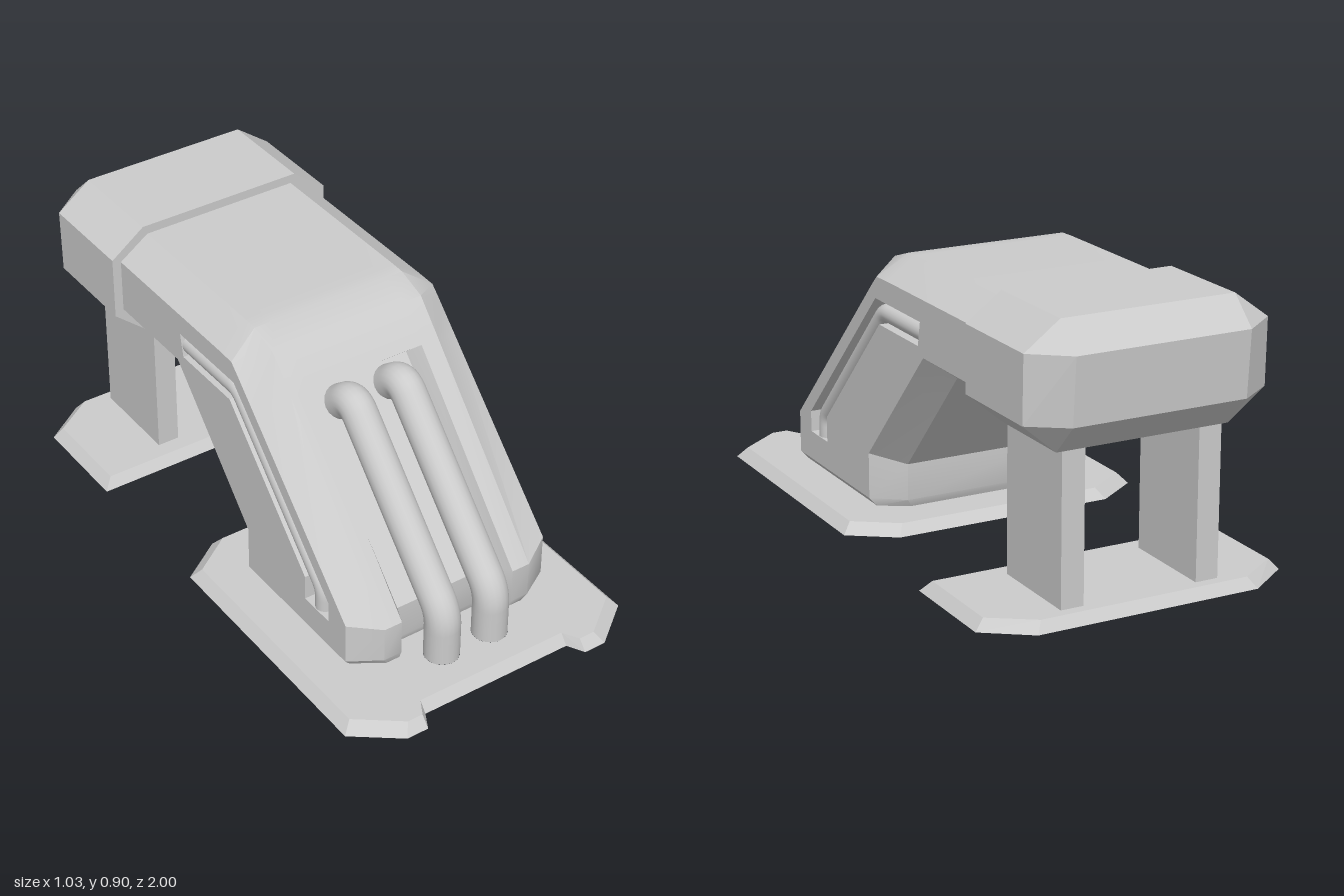
import * as THREE from 'three';
import { toCreasedNormals } from 'three/addons/utils/BufferGeometryUtils.js';
import { ConvexGeometry } from 'three/addons/geometries/ConvexGeometry.js';

const flat = new THREE.MeshStandardMaterial({ color: 0xcccccc, flatShading: true, side: THREE.DoubleSide });
const smooth = new THREE.MeshStandardMaterial({ color: 0xcccccc, side: THREE.DoubleSide });
const PLATE = 0.034;

function add(parent, name, geometry, material = flat) {
  const mesh = new THREE.Mesh(geometry, material);
  mesh.name = name;
  parent.add(mesh);
  return mesh;
}

const toV2 = (points) => points.map(([a, b]) => new THREE.Vector2(a, b));

// Body edges as [z, y] from the foot up and back to the rear
const frontEdge = [[0.73, PLATE], [0.74, 0.06], [0.74, 0.18], [0.245, 0.735], [0.245, 0.735], [0.15, 0.84], [0.05, 0.873], [0, 0.875], [-0.575, 0.875]];
const floorEdge = [[0.67, PLATE], [0.68, 0.06], [0.68, 0.18], [0.20, 0.695], ...frontEdge.slice(4)];
const sideFront = [[0.67, PLATE], [0.68, 0.06], [0.68, 0.20], [0.202, 0.678], [0.202, 0.678], [0.11, 0.77], [0.075, 0.803], [0, 0.805], [-0.575, 0.805]];
const sideBack = [[0.14, PLATE], [0.15, 0.06], [0.15, 0.21], [-0.128, 0.507], [-0.128, 0.507], [-0.22, 0.605], [-0.24, 0.626], [-0.30, 0.626], [-0.575, 0.626]];
const backEdge = [[0.085, PLATE], [0.075, 0.06], [0.075, 0.18], [-0.18, 0.461], [-0.18, 0.461], [-0.253, 0.541], [-0.268, 0.557], [-0.30, 0.557], [-0.575, 0.557]];
const columns = [
  [-0.27, frontEdge], [-0.207, frontEdge], [-0.182, floorEdge], [0.182, floorEdge], [0.207, frontEdge], [0.27, frontEdge],
  [0.37, sideFront], [0.37, sideBack], [0.27, backEdge], [-0.27, backEdge], [-0.37, sideBack], [-0.37, sideFront],
];

// One point of the body; the foot narrows and the recess closes above station 3
function bodyPoint(i, j) {
  const [x0, edge] = columns[j];
  let x = x0;
  if (edge === floorEdge && i > 3) x = Math.sign(x) * 0.207;
  if (i === 0 && Math.abs(x) > 0.25) x *= 0.94;
  const [z, y] = edge[i];
  return [x, y, z];
}

function quads(list) {
  const position = list.flatMap(([a, b, c, d]) => [...a, ...b, ...c, ...a, ...c, ...d]);
  const geometry = new THREE.BufferGeometry();
  geometry.setAttribute('position', new THREE.Float32BufferAttribute(position, 3));
  geometry.computeVertexNormals();
  return geometry;
}

// Shell with a recessed front; the flat sides are left to the grooved panels
function bodyShell() {
  const n = columns.length, list = [];
  for (let i = 0; i < frontEdge.length - 1; i++) {
    for (let j = 0; j < n; j++) {
      if (i > 0 && (j === 6 || j === 10)) continue;
      const k = (j + 1) % n;
      list.push([bodyPoint(i, j), bodyPoint(i, k), bodyPoint(i + 1, k), bodyPoint(i + 1, j)]);
    }
  }
  return toCreasedNormals(quads(list), 0.58);
}

// Ground plate: a top face with a sloping skirt, hollow underneath
function addPlate(parent, name, half, holes, centre, scaleX, scaleZ) {
  const rim = [...half, ...half.map(([x, z]) => [-x, z]).reverse()];
  const top = rim.map(([x, z]) => [Math.abs(x) > 0.32 ? x * scaleX : x, centre + (z - centre) * scaleZ]);
  const shape = new THREE.Shape(toV2(top));
  shape.holes.push(...holes);
  add(parent, name + 'Top', new THREE.ShapeGeometry(shape, 16).rotateX(Math.PI / 2).translate(0, PLATE, 0));
  add(parent, name + 'Skirt', quads(rim.map(([x, z], i) => {
    const k = (i + 1) % rim.length;
    return [[x, 0, z], [rim[k][0], 0, rim[k][1]], [top[k][0], PLATE, top[k][1]], [top[i][0], PLATE, top[i][1]]];
  })));
}

// Tube along [z, y] points at a fixed x, with rounded corners
function pipe(x, points, radius, bend) {
  const pts = points.map(([z, y]) => new THREE.Vector3(x, y, z));
  const path = new THREE.CurvePath();
  let from = pts[0];
  for (let i = 1; i < pts.length - 1; i++) {
    const toward = (q) => pts[i].clone().add(q.clone().sub(pts[i]).setLength(bend));
    const start = toward(pts[i - 1]), end = toward(pts[i + 1]);
    path.add(new THREE.LineCurve3(from, start));
    path.add(new THREE.QuadraticBezierCurve3(start, pts[i], end));
    from = end;
  }
  path.add(new THREE.LineCurve3(from, pts[pts.length - 1]));
  return new THREE.TubeGeometry(path, 80, radius, 20, false);
}

export function createModel() {
  const group = new THREE.Group();
  add(group, 'bodyShell', bodyShell(), smooth);

  // Outline of the side panels and of the bent groove in them, as [z, y]
  const groove = [[0.59, 0.155], [0.59, 0.225], [0.085, 0.733], [-0.22, 0.733], [-0.205, 0.655], [0.06, 0.655], [0.465, 0.24], [0.465, 0.155]];
  const stations = [1, 2, 3, 5, 6, 7, 8];
  const outline = stations.map((i) => sideFront[i]).concat(stations.map((i) => sideBack[i]).reverse());
  const panelShape = new THREE.Shape(toV2(outline));
  panelShape.holes.push(new THREE.Path(toV2(groove)));
  const sheet = (shape) => new THREE.ShapeGeometry(shape).rotateY(-Math.PI / 2);
  const outer = 0.37, inner = 0.31;

  for (const side of [1, -1]) {
    const label = side > 0 ? 'left' : 'right';
    add(group, label + 'SidePanel', sheet(panelShape)).position.x = side * outer;
    add(group, label + 'GrooveFloor', sheet(new THREE.Shape(toV2(groove)))).position.x = side * inner;
    add(group, label + 'GrooveWalls', quads(groove.map(([z, y], i) => {
      const [z2, y2] = groove[(i + 1) % groove.length];
      return [[side * outer, y, z], [side * outer, y2, z2], [side * inner, y2, z2], [side * inner, y, z]];
    })));
    add(group, label + 'SidePipe', pipe(side * 0.338, [[0.525, 0.155], [0.525, 0.225], [0.07, 0.69], [-0.212, 0.69]], 0.03, 0.03), smooth);

    // Front pipes turn into the recess at the top
    add(group, label + 'FrontPipe', pipe(side * 0.09, [[0.785, PLATE], [0.785, 0.195], [0.31, 0.698], [0.20, 0.61]], 0.056, 0.05), smooth);

    // Rear posts
    add(group, label + 'RearPost', new THREE.BoxGeometry(0.075, 0.48, 0.32).translate(side * 0.227, PLATE + 0.24, -0.73));
  }

  // Faceted rear housing
  const corners = [];
  for (const s of [1, -1]) {
    for (const [x, y, z] of [
      [0.285, 0.905, -0.57], [0.40, 0.82, -0.57], [0.40, 0.61, -0.57], [0.285, 0.512, -0.57],
      [0.285, 0.905, -0.91], [0.40, 0.82, -0.91], [0.40, 0.61, -0.905], [0.285, 0.512, -0.892],
      [0.285, 0.82, -1.0], [0.285, 0.61, -0.985],
    ]) corners.push(new THREE.Vector3(s * x, y, z));
  }
  add(group, 'rearHousing', new ConvexGeometry(corners));

  // Front plate, open under the body and under the pipes
  const footprint = columns.map((_, j) => bodyPoint(0, j)).map(([x, , z]) => [x, z]);
  const holes = [new THREE.Path(toV2(footprint))];
  for (const s of [1, -1]) holes.push(new THREE.Path().absarc(s * 0.09, 0.785, 0.056, 0, Math.PI * 2));
  addPlate(group, 'frontPlate', [[0.37, -0.07], [0.515, 0.03], [0.515, 0.89], [0.37, 1.0], [0.295, 1.0], [0.265, 0.945]], holes, 0.465, 0.94, 0.945);
  addPlate(group, 'rearPlate', [[0.515, -0.49], [0.515, -0.845], [0.37, -0.948]], [], -0.72, 0.94, 0.89);
  return group;
}
